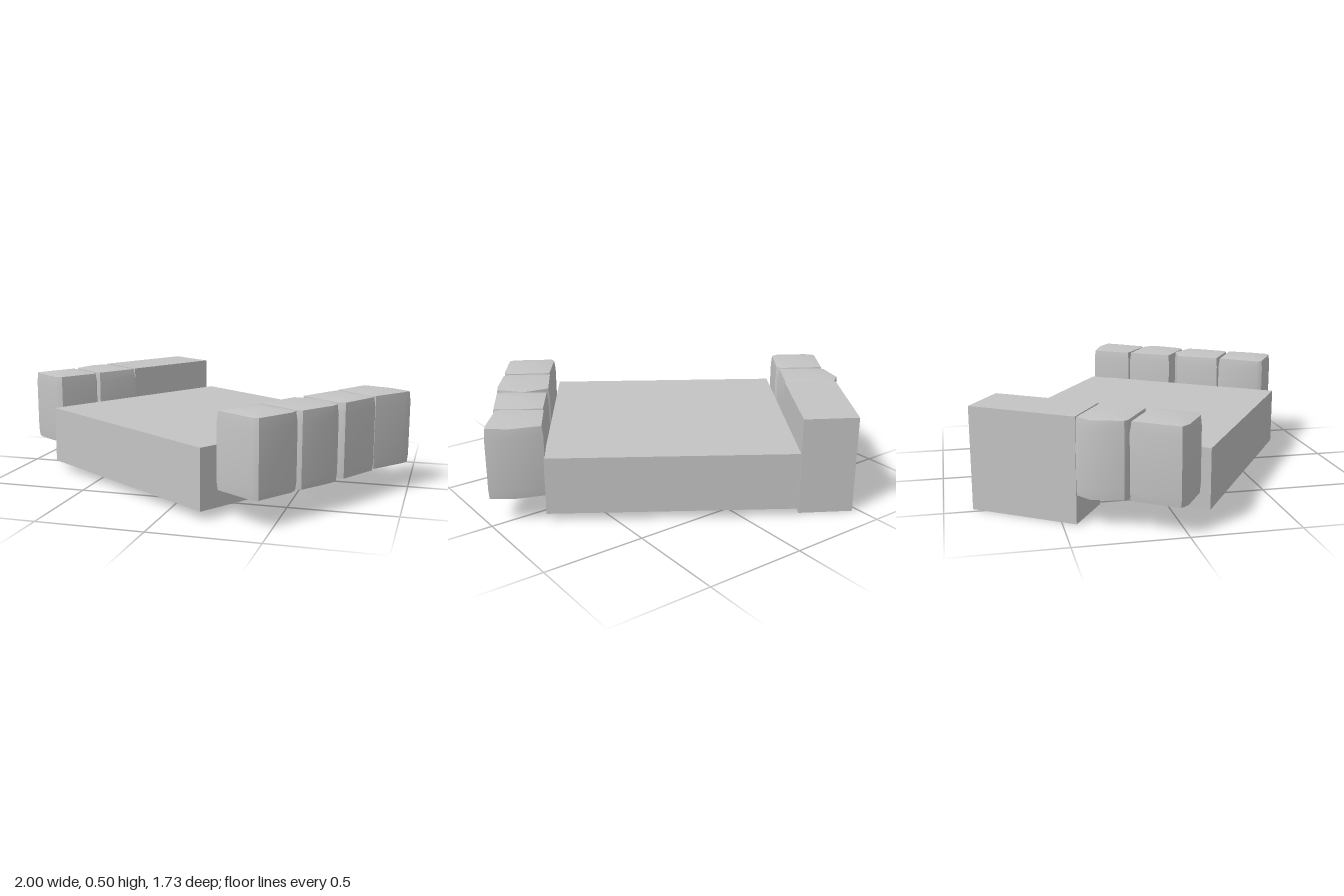
import * as THREE from 'three';
import { toCreasedNormals } from 'three/addons/utils/BufferGeometryUtils.js';

const grey = new THREE.MeshStandardMaterial({ color: 0xc4c4c4 });
grey.name = 'grey';

function addMesh(parent, geometry, name) {
  const mesh = new THREE.Mesh(geometry, grey);
  mesh.name = name;
  parent.add(mesh);
  return mesh;
}

// Closed solid from a footprint of [x, z] corners and levels of [y, scale].
// The footprint runs clockwise when seen from above; the ends rise to a centre point.
function solid(footprint, levels, bottomY, topY) {
  const n = footprint.length;
  const cx = footprint.reduce((s, p) => s + p[0], 0) / n;
  const cz = footprint.reduce((s, p) => s + p[1], 0) / n;
  const pos = [], index = [];
  for (const [y, s] of levels) {
    for (const [x, z] of footprint) pos.push(cx + (x - cx) * s, y, cz + (z - cz) * s);
  }
  const last = (levels.length - 1) * n, bottom = levels.length * n, top = bottom + 1;
  pos.push(cx, bottomY, cz, cx, topY, cz);
  for (let i = 0; i < n; i++) {
    const j = (i + 1) % n;
    for (let k = 0; k < last; k += n) {
      index.push(k + i, k + n + i, k + j, k + j, k + n + i, k + n + j);
    }
    index.push(bottom, i, j, top, last + j, last + i);
  }
  const g = new THREE.BufferGeometry();
  g.setAttribute('position', new THREE.Float32BufferAttribute(pos, 3));
  g.setIndex(index);
  return toCreasedNormals(g, 0.7);
}

export function createModel() {
  const model = new THREE.Group();
  model.name = 'barricadedPlatform';

  // Hollow platform, open underneath and turned on the ground
  const W = 1.184, D = 1.076, low = 0.04, high = 0.322, t = 0.008;
  const platform = new THREE.Group();
  platform.name = 'platform';
  platform.position.set(-0.02, 0, 0.0175);
  platform.rotation.y = -0.581;
  model.add(platform);
  addMesh(platform, new THREE.BoxGeometry(W, t, D), 'deck').position.y = high - t / 2;
  const wallH = high - low - t, wallY = low + wallH / 2;
  for (const s of [-1, 1]) {
    addMesh(platform, new THREE.BoxGeometry(W, wallH, t), s > 0 ? 'frontWall' : 'backWall')
      .position.set(0, wallY, s * (D - t) / 2);
    addMesh(platform, new THREE.BoxGeometry(t, wallH, D - 2 * t), s > 0 ? 'leftWall' : 'rightWall')
      .position.set(s * (W - t) / 2, wallY, 0);
  }

  // Tall solid block beside the platform
  const block = [[-0.47, -0.87], [-0.245, -0.735], [-0.53, -0.30], [-0.755, -0.44]];
  addMesh(model, solid(block, [[0, 1], [0.48, 1]], 0, 0.48), 'block');

  // Standing sacks: four on the left side, two on the right
  const sacks = {
    leftSack1: [[0.76, -0.10], [0.90, -0.05], [0.995, 0.02], [0.97, 0.06], [0.85, 0.21], [0.82, 0.21], [0.65, 0.08]],
    leftSack2: [[0.65, 0.09], [0.83, 0.21], [0.85, 0.23], [0.74, 0.42], [0.70, 0.42], [0.52, 0.29]],
    leftSack3: [[0.49, 0.33], [0.62, 0.35], [0.715, 0.46], [0.70, 0.50], [0.59, 0.65], [0.56, 0.65], [0.37, 0.53]],
    leftSack4: [[0.37, 0.54], [0.57, 0.66], [0.56, 0.70], [0.45, 0.86], [0.42, 0.86], [0.24, 0.75], [0.24, 0.72]],
    rightSack1: [[-0.75, -0.44], [-0.53, -0.30], [-0.66, -0.11], [-0.85, -0.23], [-0.86, -0.25], [-0.82, -0.39]],
    rightSack2: [[-0.87, -0.23], [-0.68, -0.11], [-0.67, -0.08], [-0.79, 0.09], [-0.83, 0.09], [-0.97, 0.00], [-1.0, -0.04]],
  };
  Object.entries(sacks).forEach(([name, footprint], i) => {
    const rise = i % 2 ? 0.008 : 0;
    const levels = [[0.13, 0.97], [0.17, 1], [0.43, 1], [0.477, 0.96]];
    addMesh(model, solid(footprint, levels, 0.122, 0.49 + rise), name);
  });
  return model;
}
